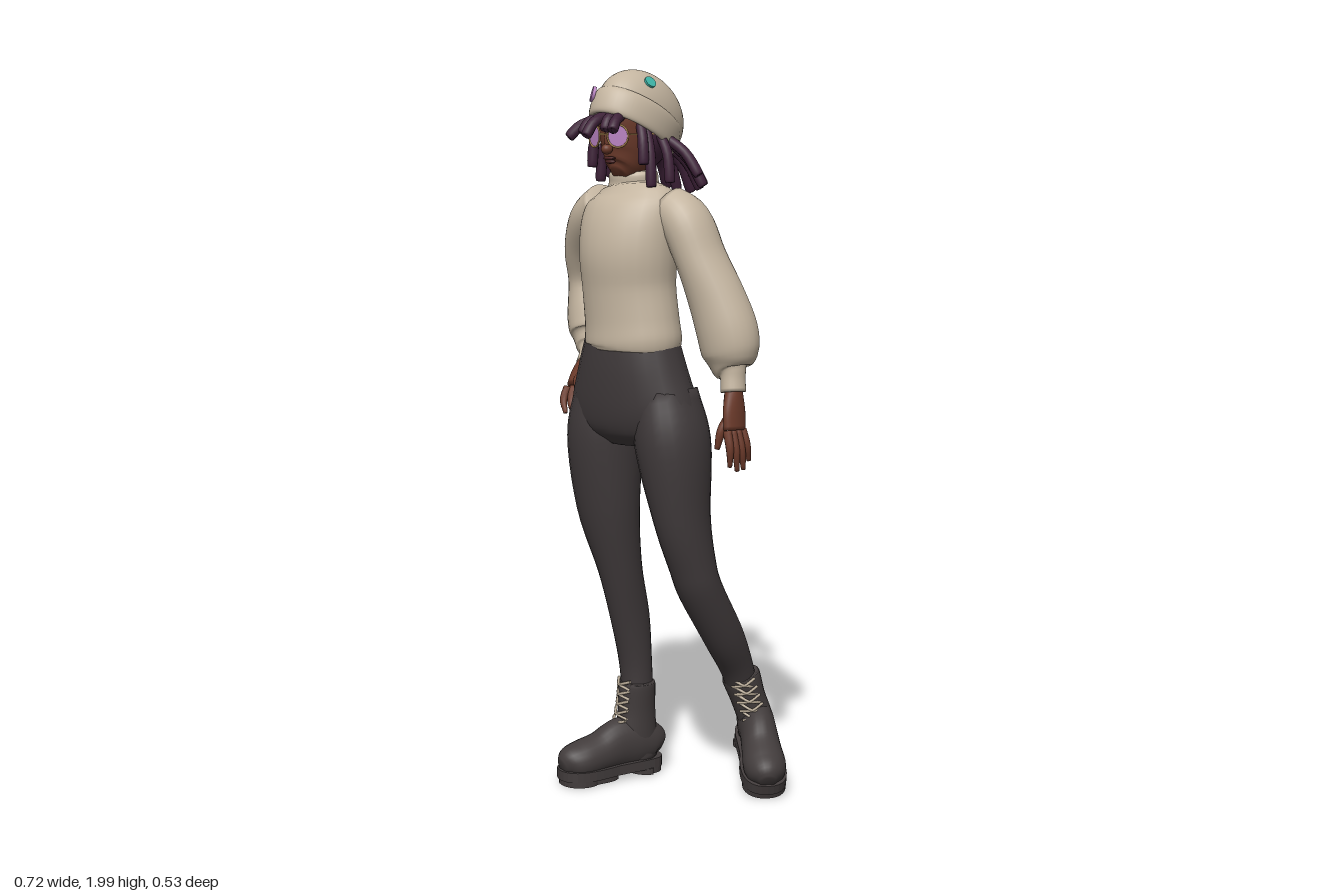
import * as THREE from 'three';

const V = (x, y, z) => new THREE.Vector3(x, y, z);
const mat = (name, color, side = THREE.DoubleSide) => {
  const m = new THREE.MeshStandardMaterial({ color, side });
  m.name = name;
  return m;
};

// Smooth limb: points are [x, y, z, radiusA, radiusB]; ref is the direction radiusB leans to
function loft(pts, ref = V(0, 0, 1), sides = 24, per = 5) {
  const path = new THREE.CatmullRomCurve3(pts.map(p => V(p[0], p[1], p[2])), false, 'catmullrom', 0.5);
  const radii = new THREE.CatmullRomCurve3(pts.map(p => V(p[3], p[4], 0)), false, 'catmullrom', 0.5);
  const n = (pts.length - 1) * per, pos = [], idx = [];
  for (let i = 0; i <= n; i++) {
    const c = path.getPoint(i / n), r = radii.getPoint(i / n), t = path.getTangent(i / n);
    const u = t.clone().cross(ref).normalize(), v = u.clone().cross(t);
    for (let j = 0; j < sides; j++) {
      const a = j / sides * Math.PI * 2;
      const p = c.clone().addScaledVector(u, Math.cos(a) * r.x).addScaledVector(v, Math.sin(a) * r.y);
      pos.push(p.x, p.y, p.z);
      if (i < n) {
        const k = i * sides, j2 = (j + 1) % sides;
        idx.push(k + j, k + sides + j, k + j2, k + j2, k + sides + j, k + sides + j2);
      }
    }
  }
  const s = path.getPoint(0), e = path.getPoint(1), base = (n + 1) * sides;
  pos.push(s.x, s.y, s.z, e.x, e.y, e.z);
  for (let j = 0; j < sides; j++) {
    const j2 = (j + 1) % sides;
    idx.push(base, j, j2, base + 1, n * sides + j2, n * sides + j);
  }
  const g = new THREE.BufferGeometry();
  g.setAttribute('position', new THREE.Float32BufferAttribute(pos, 3));
  g.setIndex(idx);
  g.computeVertexNormals();
  return g;
}

export function createModel() {
  const root = new THREE.Group();
  const M = {
    knit: mat('cream knit', 0xc4b5a0), trousers: mat('charcoal cloth', 0x3f393a),
    boot: mat('dark leather', 0x423c3c), skin: mat('brown skin', 0x6d3b2b),
    hair: mat('plum hair', 0x3f2239), lace: mat('pale lace', 0xb8aa96),
    pink: mat('pink', 0xb983c2), teal: mat('teal', 0x3fb5a8),
    gold: mat('gold frame', 0xa8834e), lip: mat('dark lip', 0x4a2222),
  };
  const add = (name, geo, m, parent = root, pos = [0, 0, 0], scale = [1, 1, 1]) => {
    const o = new THREE.Mesh(geo, m);
    o.name = name;
    o.position.set(...pos);
    o.scale.set(...scale);
    parent.add(o);
    return o;
  };
  const ball = (name, m, pos, scale, parent) => add(name, new THREE.SphereGeometry(1, 24, 16), m, parent, pos, scale);

  // Sweater body, collar and sleeves
  add('sweaterBody', loft([[-.025, 1.255, .13, .135, .106], [-.025, 1.275, .13, .146, .112], [-.03, 1.33, .13, .142, .11],
    [-.04, 1.42, .13, .139, .113], [-.042, 1.51, .13, .145, .12], [-.046, 1.59, .117, .15, .112],
    [-.05, 1.645, .1, .145, .087], [-.055, 1.68, .092, .105, .07], [-.057, 1.695, .09, .07, .06]]), M.knit);
  add('collar', loft([[-.057, 1.67, .09, .08, .066], [-.057, 1.7, .09, .073, .062], [-.057, 1.722, .092, .072, .06],
    [-.057, 1.733, .093, .064, .053]]), M.knit);
  add('leftSleeve', loft([[.06, 1.64, .09, .06, .06], [.12, 1.595, .08, .068, .075], [.165, 1.5, .07, .066, .075],
    [.205, 1.4, .055, .078, .076], [.235, 1.31, .045, .086, .078], [.245, 1.25, .045, .08, .07], [.25, 1.213, .048, .055, .05],
    [.258, 1.195, .05, .034, .037], [.265, 1.15, .055, .033, .036]]), M.knit);
  add('rightSleeve', loft([[-.16, 1.64, .09, .06, .06], [-.226, 1.595, .07, .062, .068], [-.286, 1.51, .03, .06, .068],
    [-.305, 1.42, 0, .055, .068], [-.288, 1.32, 0, .075, .08], [-.27, 1.26, .012, .07, .078], [-.257, 1.225, .04, .05, .052],
    [-.25, 1.21, .058, .034, .034], [-.243, 1.185, .082, .031, .031]]), M.knit);

  // Trousers
  add('hips', loft([[-.03, 1.31, .13, .135, .1], [-.032, 1.2, .125, .172, .113], [-.033, 1.1, .116, .205, .117],
    [-.03, 1.035, .112, .19, .105], [-.03, .995, .11, .1, .07]]), M.trousers);
  add('leftLeg', loft([[.075, 1.14, .11, .08, .095], [.1, 1.0, .11, .1, .11], [.128, .8, .105, .074, .086],
    [.145, .67, .082, .064, .068], [.153, .59, .055, .062, .062], [.164, .45, -.03, .053, .06], [.158, .35, -.095, .046, .05],
    [.155, .27, -.13, .042, .045]]), M.trousers);
  add('rightLeg', loft([[-.135, 1.14, .11, .085, .095], [-.148, 1.0, .11, .103, .11], [-.142, .8, .105, .092, .086],
    [-.122, .62, .08, .062, .064], [-.116, .47, .045, .052, .06], [-.111, .34, .028, .047, .048],
    [-.106, .24, .025, .045, .045]]), M.trousers);

  // Hands: palm, four fingers and a thumb
  function hand(name, wrist, knuckle, tip, spread, thumbTip, pa, pb) {
    const g = new THREE.Group();
    g.name = name;
    root.add(g);
    const w = V(...wrist), k = V(...knuckle), t = V(...tip), s = V(...spread), mid = w.clone().lerp(k, .55);
    add('palm', loft([[...w, .022, .022], [...mid, pa, pb], [...k, pa * .9, pb]], undefined, 16), M.skin, g);
    for (let i = 0; i < 4; i++) {
      const f = (i - 1.5) / 1.5, len = [.88, 1, .98, .78][i];
      const a = k.clone().addScaledVector(s, f * .8), e = k.clone().lerp(t, len).addScaledVector(s, f * 1.05);
      const m = a.clone().lerp(e, .5).add(V(Math.sign(k.x) * .008, 0, .004));
      add('finger', loft([[...a, .012, .012], [...m, .0105, .0105], [...e, .006, .006]], undefined, 10), M.skin, g);
    }
    const th = V(...thumbTip), tm = mid.clone().lerp(th, .6).add(V(0, .01, .008));
    add('thumb', loft([[...mid, .014, .014], [...tm, .013, .013], [...th, .007, .007]], undefined, 10), M.skin, g);
  }
  hand('leftHand', [.265, 1.17, .055], [.278, 1.05, .065], [.29, .94, .055], [.006, 0, -.032], [.25, 1.0, .105], .021, .04);
  hand('rightHand', [-.243, 1.21, .07], [-.232, 1.13, .135], [-.2, 1.055, .165], [.026, .004, -.02], [-.2, 1.12, .165], .036, .024);

  // Boots: sole, foot, shaft and crossed laces; top is the shaft opening
  const outline = (z0, z1, w) => {
    const s = new THREE.Shape();
    s.moveTo(0, z0);
    s.bezierCurveTo(w * 1.1, z0, w * .85, z0 + .06, w * .9, (z0 + z1) / 2);
    s.bezierCurveTo(w * 1.25, z1 - .06, w, z1, 0, z1);
    s.bezierCurveTo(-w, z1, -w * 1.25, z1 - .06, -w * .9, (z0 + z1) / 2);
    s.bezierCurveTo(-w * .85, z0 + .06, -w * 1.1, z0, 0, z0);
    return s;
  };
  const slab = (z0, z1, w, y, h) => new THREE.ExtrudeGeometry(outline(z0, z1, w),
    { depth: h, bevelEnabled: false, curveSegments: 10 }).rotateX(Math.PI / 2).translate(0, y + h, 0);
  function boot(name, pos, yaw, pitch, topWorld) {
    const g = new THREE.Group();
    g.name = name;
    g.position.set(...pos);
    g.rotation.set(pitch, yaw, 0, 'YXZ');
    root.add(g);
    g.updateMatrixWorld(true);
    const top = g.worldToLocal(V(...topWorld)), ankle = V(0, .1, 0);
    add('sole', slab(-.075, .25, .061, .016, .028), M.boot, g);
    add('heel', slab(-.073, .025, .055, 0, .018), M.boot, g);
    add('tread', slab(.07, .245, .058, 0, .018), M.boot, g);
    add('foot', loft([[0, .065, -.07, .025, .03], [0, .08, -.05, .045, .055], [0, .09, 0, .052, .075], [0, .09, .06, .052, .075],
      [0, .075, .12, .056, .06], [0, .064, .18, .06, .055], [0, .06, .22, .048, .046], [0, .052, .244, .02, .022]],
    V(0, 1, 0)), M.boot, g).geometry.translate(0, 0, 0);
    const at = f => ankle.clone().lerp(top, f);
    add('shaft', loft([[0, .04, -.012, .045, .052], [...ankle, .05, .063], [...at(.5), .05, .055], [...at(.94), .055, .053],
      [...top, .05, .048]]), M.boot, g);
    for (let k = 0; k < 7; k++) {
      const f = k / 6 * 1.0 - .05, c = at(f), out = .054 + .035 * Math.pow(1 - k / 6, 2);
      for (const s of [-1, 1]) {
        const a = c.clone().add(V(s * .032, -.008, out - .012)), b = c.clone().add(V(-s * .032, .016, out - .014));
        const m = c.clone().add(V(0, .004, out + .004));
        add('lace', new THREE.TubeGeometry(new THREE.CatmullRomCurve3([a, m, b]), 8, .0042, 6), M.lace, g);
      }
    }
  }
  boot('rightBoot', [-.108, .01, .028], -.31, 0, [-.106, .28, .028]);
  boot('leftBoot', [.15, .078, -.19], .83, .29, [.155, .315, -.12]);

  // Head and face
  const cx = -.055;
  add('neck', new THREE.CylinderGeometry(.042, .046, .12, 20), M.skin, root, [cx, 1.73, .095]);
  add('head', loft([[cx, 1.722, .155, .022, .025], [cx, 1.738, .14, .046, .054], [cx, 1.775, .12, .064, .077],
    [cx, 1.83, .108, .075, .093], [cx, 1.89, .105, .075, .095], [cx, 1.93, .1, .05, .06]]), M.skin);
  ball('nose', M.skin, [cx, 1.79, .2], [.015, .014, .016]);
  ball('noseBridge', M.skin, [cx, 1.815, .197], [.009, .025, .01]);
  ball('upperLip', M.lip, [cx, 1.766, .19], [.021, .005, .009]);
  ball('lowerLip', M.lip, [cx, 1.757, .187], [.017, .006, .009]);
  for (const s of [-1, 1]) {
    const g = new THREE.Group();
    g.name = 'eyeglass';
    g.position.set(cx + s * .042, 1.825, .203);
    g.rotation.y = s * .35;
    root.add(g);
    add('lens', new THREE.CircleGeometry(.029, 24), M.pink, g);
    add('rim', new THREE.TorusGeometry(.03, .0026, 8, 28), M.gold, g);
    add('templeArm', new THREE.BoxGeometry(.004, .004, .1), M.gold, root, [cx + s * .076, 1.83, .145]);
  }
  add('glassesBridge', new THREE.BoxGeometry(.03, .004, .004), M.gold, root, [cx, 1.83, .212]);

  // Hair: cap under the hat and thick locks, listed by their tips
  ball('hairCap', M.hair, [cx, 1.83, .068], [.083, .1, .088]);
  const tips = [[-.1, 1.68, -.1], [-.05, 1.67, -.085], [0, 1.67, -.085], [-.135, 1.67, -.08], [-.17, 1.69, -.062],
    [-.2, 1.69, -.022], [-.215, 1.71, .01], [.04, 1.68, -.075], [.085, 1.69, -.038], [.11, 1.69, -.005], [.115, 1.72, .02],
    [-.17, 1.7, .1], [.05, 1.69, .14], [-.16, 1.7, .05], [.06, 1.7, .075], [-.165, 1.82, .232], [-.07, 1.825, .267],
    [.01, 1.84, .25], [-.03, 1.84, .235], [-.115, 1.83, .232], [-.15, 1.74, .155], [.04, 1.75, .16]];
  for (const [x, y, z] of tips) {
    const a = Math.atan2((z - .085) / .12, (x - cx) / .1);
    const sx = cx + Math.cos(a) * .078, sz = .085 + Math.sin(a) * .1, sy = 1.845 + .45 * (sz - .1);
    const p = V(sx, sy, sz), e = V(x, y, z), m = p.clone().lerp(e, .5).add(V(Math.cos(a) * .01, .008, Math.sin(a) * .01));
    const q = m.clone().lerp(e, .9);
    add('hairLock', loft([[...p, .013, .013], [...m, .0145, .0145], [...q, .0145, .0145], [...e, .006, .006]],
      V(.31, .2, .93).normalize(), 10, 4), M.hair);
  }

  // Knitted hat, tipped back, with folded cuff and round pins
  const hat = new THREE.Group();
  hat.name = 'hat';
  hat.position.set(cx, 1.877, .065);
  hat.rotation.x = -.49;
  root.add(hat);
  const R = V(.095, .115, .15);
  add('hatDome', new THREE.SphereGeometry(1, 40, 24, 0, Math.PI * 2, 0, Math.PI * .6), M.knit, hat, [0, 0, 0], R.toArray());
  const band = [[.86, -.055], [.96, -.066], [1.03, -.058], [1.06, -.03], [1.05, -.005], [1.0, .01], [.9, .008]];
  add('hatCuff', new THREE.LatheGeometry(new THREE.SplineCurve(band.map(p => new THREE.Vector2(...p))).getPoints(24), 48),
    M.knit, hat, [0, 0, .01], [.1, 1, .14]);
  for (const [x, y, z, k, r, m] of [[.065, .061, .072, 1, .017, M.teal], [-.065, .05, .085, 1, .014, M.pink],
    [-.05, -.012, .145, 1.0, .021, M.pink]]) {
    const p = V(x, y, z), len = k / p.clone().divide(R).length();
    if (y > 0) p.multiplyScalar(len);
    const pin = add('pin', new THREE.CylinderGeometry(r, r, .009, 24), m, hat, p.toArray());
    pin.quaternion.setFromUnitVectors(V(0, 1, 0), p.clone().divide(R).divide(R).normalize());
  }
  return root;
}
